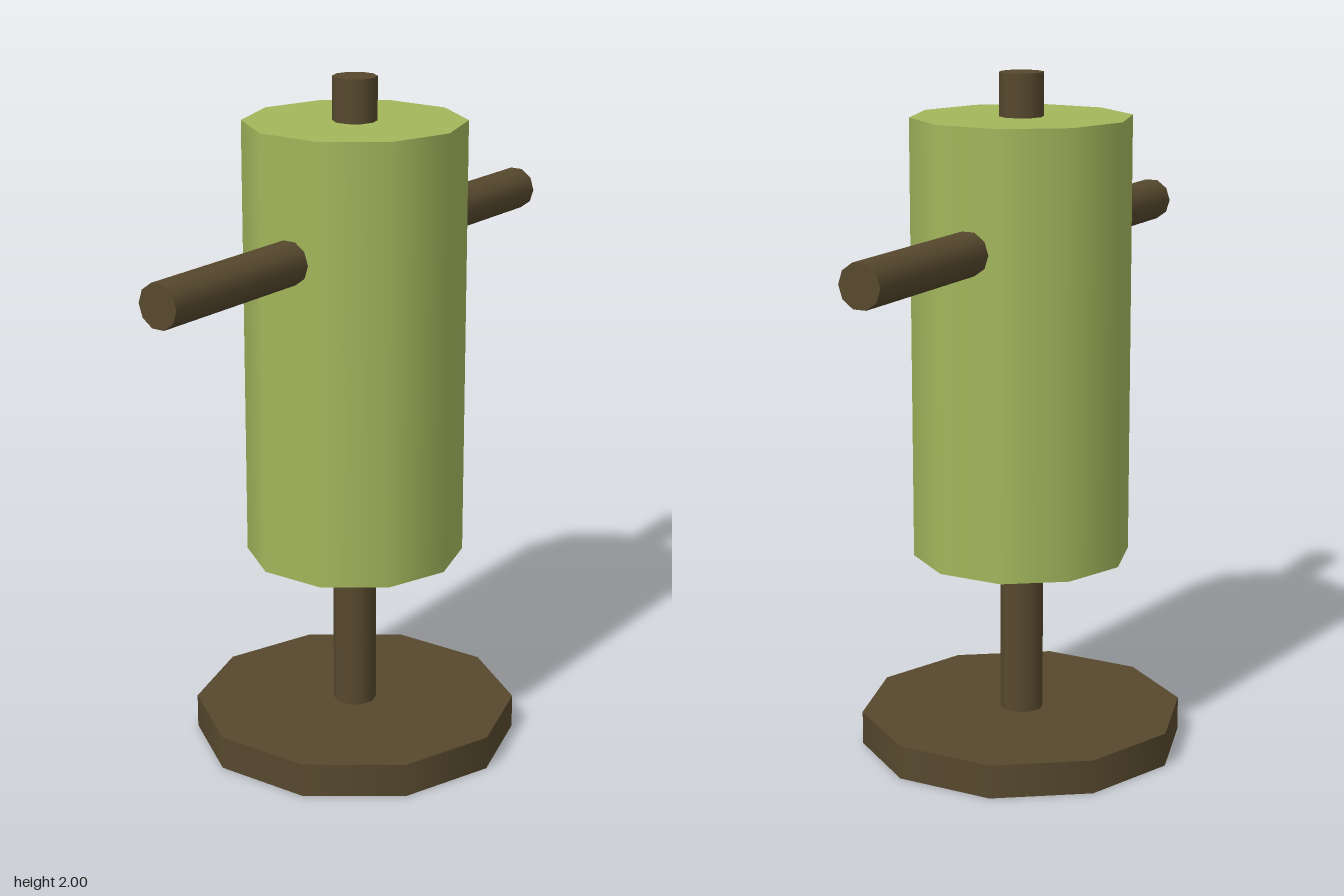
import * as THREE from 'three';

export function createModel() {
  const model = new THREE.Group();
  const wood = new THREE.MeshStandardMaterial({ color: 0x57492e });
  wood.name = 'dark wood';
  const padding = new THREE.MeshStandardMaterial({ color: 0xa4b75c });
  padding.name = 'green padding';

  // Smooth ten-sided cylinder with corners on the x axis
  function addCylinder(name, radius, height, y, material, tilt = 0) {
    const geometry = new THREE.CylinderGeometry(radius, radius, height, 10, 1, false, Math.PI / 2);
    const mesh = new THREE.Mesh(geometry, material);
    mesh.name = name;
    mesh.position.y = y;
    mesh.rotation.x = tilt;
    model.add(mesh);
  }

  // Foot disc and the upright post through the body
  addCylinder('base', 0.48, 0.1, 0.05, wood);
  addCylinder('post', 0.064, 1.95, 1.025, wood);

  // Padded body
  addCylinder('body', 0.32, 1.29, 1.23, padding);

  // Crossbar running front to back
  addCylinder('crossbar', 0.064, 1.714, 1.526, wood, Math.PI / 2);

  return model;
}
